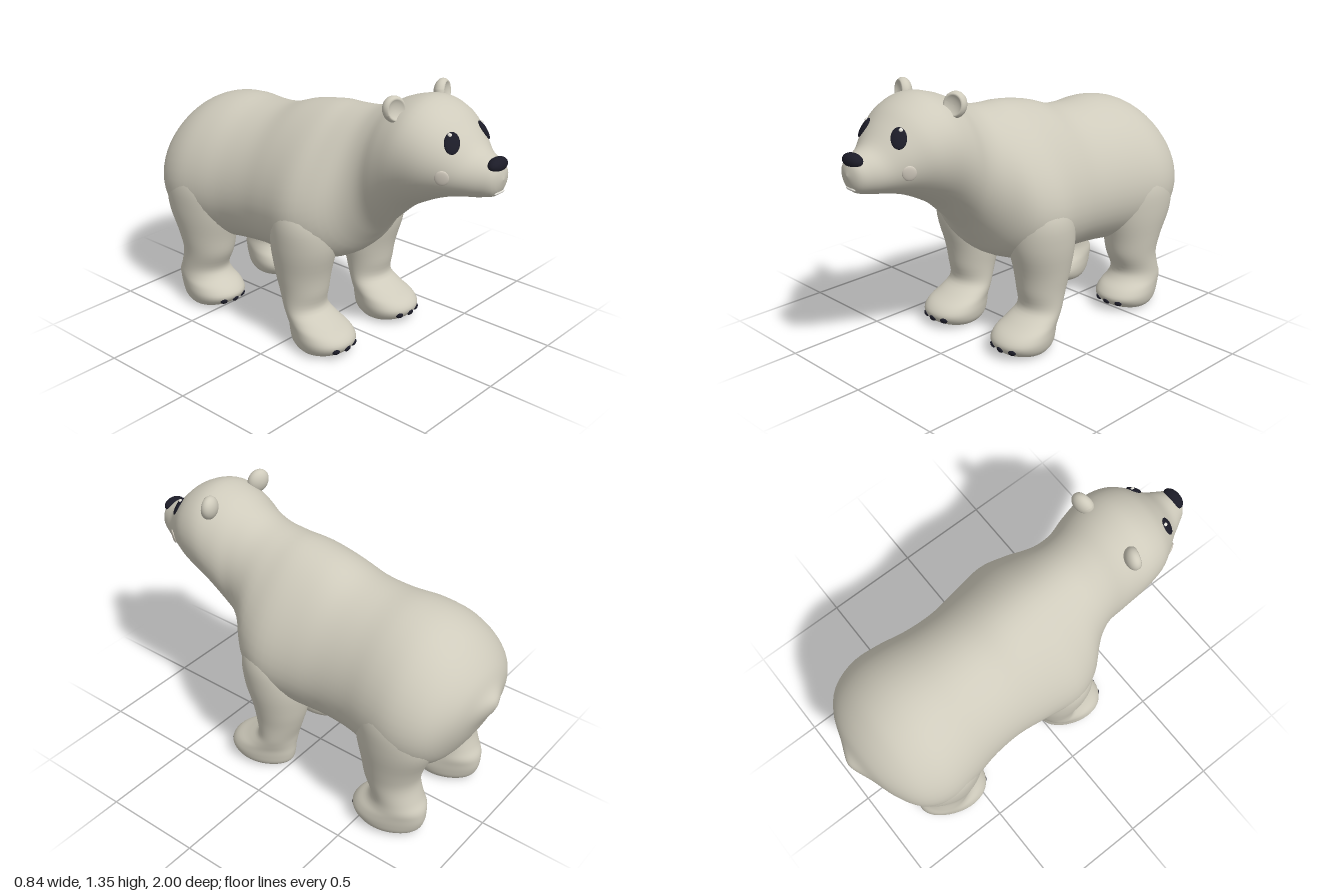
import * as THREE from 'three';

const mat = (name, color) => Object.assign(new THREE.MeshStandardMaterial({ color }), { name });

// Cubic interpolation of whole section rows
function sampleRow(rows, u) {
  const n = rows.length - 1;
  const i = Math.min(Math.floor(u * n), n - 1), f = u * n - i;
  const [p0, p1, p2, p3] = [-1, 0, 1, 2].map(k => rows[Math.min(n, Math.max(0, i + k))]);
  return p1.map((v, k) => v + 0.5 * f * (p2[k] - p0[k]
    + f * (2 * p0[k] - 5 * v + 4 * p2[k] - p3[k] + f * (3 * (v - p2[k]) + p3[k] - p0[k]))));
}

// Smooth skin over oval sections: [x, yA, zA, yB, zB, halfWidth, bias]
// A and B are opposite ends of the oval; bias moves its widest place towards B
function loft(rows, steps = 4, sides = 48) {
  const pos = [], index = [], count = (rows.length - 1) * steps;
  for (let i = 0; i <= count; i++) {
    const [x, ya, za, yb, zb, w, p] = sampleRow(rows, i / count);
    for (let j = 0; j < sides; j++) {
      const t = j / sides * Math.PI * 2, c = Math.cos(t);
      pos.push(x + w * Math.sin(t) * (1 - p * c),
        (ya + yb) / 2 + (ya - yb) / 2 * c, (za + zb) / 2 + (za - zb) / 2 * c);
      if (i < count) {
        const a = i * sides + j, b = i * sides + (j + 1) % sides;
        index.push(a, b, a + sides, b, b + sides, a + sides);
      }
    }
  }
  const g = new THREE.BufferGeometry();
  g.setAttribute('position', new THREE.Float32BufferAttribute(pos, 3));
  g.setIndex(index);
  g.computeVertexNormals();
  return g;
}

// Torso, neck and head, nose to tail: [zTop, yTop, zBottom, yBottom, halfWidth, bias]
const BODY = [
  [1.0, 1.03, 1.0, 1.03, 0, 0],
  [0.985, 1.09, 0.975, 0.955, 0.062, 0],
  [0.94, 1.115, 0.91, 0.93, 0.1, 0.05],
  [0.88, 1.145, 0.83, 0.915, 0.14, 0.05],
  [0.81, 1.22, 0.74, 0.89, 0.195, 0],
  [0.73, 1.29, 0.64, 0.845, 0.243, -0.05],
  [0.62, 1.33, 0.53, 0.78, 0.262, -0.08],
  [0.5, 1.305, 0.44, 0.7, 0.255, -0.05],
  [0.4, 1.255, 0.37, 0.63, 0.245, 0],
  [0.3, 1.215, 0.31, 0.56, 0.275, 0.1],
  [0.18, 1.2, 0.22, 0.46, 0.355, 0.25],
  [0.06, 1.195, 0.08, 0.41, 0.395, 0.28],
  [-0.1, 1.165, -0.1, 0.385, 0.375, 0.22],
  [-0.25, 1.115, -0.25, 0.375, 0.36, 0.15],
  [-0.4, 1.1, -0.4, 0.36, 0.368, 0.12],
  [-0.55, 1.105, -0.53, 0.345, 0.395, 0.12],
  [-0.68, 1.085, -0.66, 0.335, 0.41, 0.12],
  [-0.79, 1.035, -0.76, 0.36, 0.388, 0.12],
  [-0.87, 0.965, -0.84, 0.42, 0.335, 0.1],
  [-0.93, 0.885, -0.9, 0.52, 0.24, 0.05],
  [-0.965, 0.81, -0.945, 0.62, 0.125, 0],
  [-0.995, 0.765, -0.985, 0.69, 0.04, 0],
  [-1.0, 0.73, -1.0, 0.73, 0, 0],
].map(([za, ya, zb, yb, w, p]) => [0, ya, za, yb, zb, w, p]);

// Legs, sole to shoulder or hip: [y, zFront, zBack, x, halfWidth, bias]
const FRONT_LEG = [
  [0.004, 0.14, 0.14, 0.245, 0, 0],
  [0.006, 0.25, 0.04, 0.245, 0.09, -0.2],
  [0.03, 0.315, 0, 0.245, 0.125, -0.2],
  [0.075, 0.345, -0.012, 0.245, 0.139, -0.2],
  [0.12, 0.315, -0.015, 0.245, 0.136, -0.15],
  [0.16, 0.235, -0.02, 0.245, 0.127, -0.05],
  [0.21, 0.165, -0.03, 0.247, 0.12, 0],
  [0.3, 0.178, -0.06, 0.247, 0.125, 0],
  [0.4, 0.195, -0.085, 0.248, 0.14, 0],
  [0.55, 0.235, -0.1, 0.255, 0.158, 0],
  [0.7, 0.23, -0.07, 0.26, 0.15, 0],
  [0.85, 0.15, 0, 0.25, 0.08, 0],
  [0.9, 0.07, 0.07, 0.25, 0, 0],
];
const HIND_LEG = [
  [0.004, -0.64, -0.64, 0.245, 0, 0],
  [0.006, -0.54, -0.75, 0.245, 0.09, -0.2],
  [0.03, -0.47, -0.79, 0.245, 0.125, -0.2],
  [0.075, -0.43, -0.81, 0.245, 0.139, -0.2],
  [0.12, -0.455, -0.815, 0.245, 0.136, -0.15],
  [0.16, -0.51, -0.81, 0.245, 0.127, -0.05],
  [0.21, -0.53, -0.785, 0.247, 0.121, 0],
  [0.3, -0.49, -0.765, 0.247, 0.127, 0],
  [0.4, -0.47, -0.79, 0.248, 0.142, 0],
  [0.55, -0.44, -0.85, 0.255, 0.158, 0],
  [0.7, -0.45, -0.83, 0.26, 0.148, 0],
  [0.85, -0.53, -0.73, 0.25, 0.08, 0],
  [0.9, -0.63, -0.63, 0.25, 0, 0],
];

// Ball with its front pressed in, for the ears
function earGeometry() {
  const g = new THREE.SphereGeometry(1, 32, 24).rotateX(Math.PI / 2);
  const p = g.attributes.position;
  for (let i = 0; i < p.count; i++) {
    const z = p.getZ(i);
    if (z > 0.6) p.setZ(i, 0.6 - (z - 0.6) * 0.9);
  }
  g.computeVertexNormals();
  return g;
}

export function createModel() {
  const model = new THREE.Group();
  const fur = mat('fur', 0xcfcbbc), dark = mat('dark', 0x1c1c28);
  const pale = mat('pale', 0xe6e4dc), cheekFur = mat('cheekFur', 0xd4cdc0);
  const ball = new THREE.SphereGeometry(1, 28, 18);

  const add = (name, geometry, material) => {
    const m = new THREE.Mesh(geometry, material);
    m.name = name;
    model.add(m);
    return m;
  };
  // Flattened ball laid on the skin where a ray meets it
  const stick = (name, skin, material, from, dir, size, roll = 0) => {
    const ray = new THREE.Raycaster(new THREE.Vector3(...from), new THREE.Vector3(...dir));
    const hit = ray.intersectObject(skin)[0];
    if (!hit) return;
    const m = add(name, ball, material);
    m.position.copy(hit.point);
    m.lookAt(hit.point.clone().add(hit.face.normal));
    m.rotateZ(roll);
    m.scale.set(...size);
  };

  const body = add('body', loft(BODY), fur);
  const ear = earGeometry();

  for (const s of [1, -1]) {
    const side = s > 0 ? 'left' : 'right';

    // Legs and claws
    for (const [name, rows] of [['FrontLeg', FRONT_LEG], ['HindLeg', HIND_LEG]]) {
      const leg = add(side + name, loft(rows.map(([y, za, zb, x, w, p]) => [s * x, y, za, y, zb, w, p])), fur);
      for (const dx of [-0.066, 0, 0.066])
        stick(side + name + 'Claw', leg, dark, [s * 0.245 + dx, 0.055, 2], [0, 0, -1], [0.019, 0.017, 0.01]);
    }

    // Ears
    const e = add(side + 'Ear', ear, fur);
    e.position.set(s * 0.177, 1.288, 0.535);
    e.rotation.set(-0.1, s * 0.3, -s * 0.4);
    e.scale.set(0.056, 0.062, 0.04);

    // Eyes with glints, and cheeks
    stick(side + 'Eye', body, dark, [s * 0.12, 1.18, 2], [0, 0, -1], [0.036, 0.05, 0.012], s * 0.2);
    stick(side + 'EyeGlint', body, pale, [s * 0.114, 1.208, 2], [0, 0, -1], [0.011, 0.011, 0.017]);
    stick(side + 'Cheek', body, cheekFur, [s * 2, 1.035, 0.8], [-s, 0, 0], [0.032, 0.036, 0.008]);
  }

  // Nose and mouth
  const nose = add('nose', ball, dark);
  nose.position.set(0, 1.09, 0.963);
  nose.rotation.x = -0.4;
  nose.scale.set(0.06, 0.034, 0.035);
  stick('mouth', body, pale, [0, 0.966, 2], [0, 0, -1], [0.036, 0.007, 0.006]);

  return model;
}
